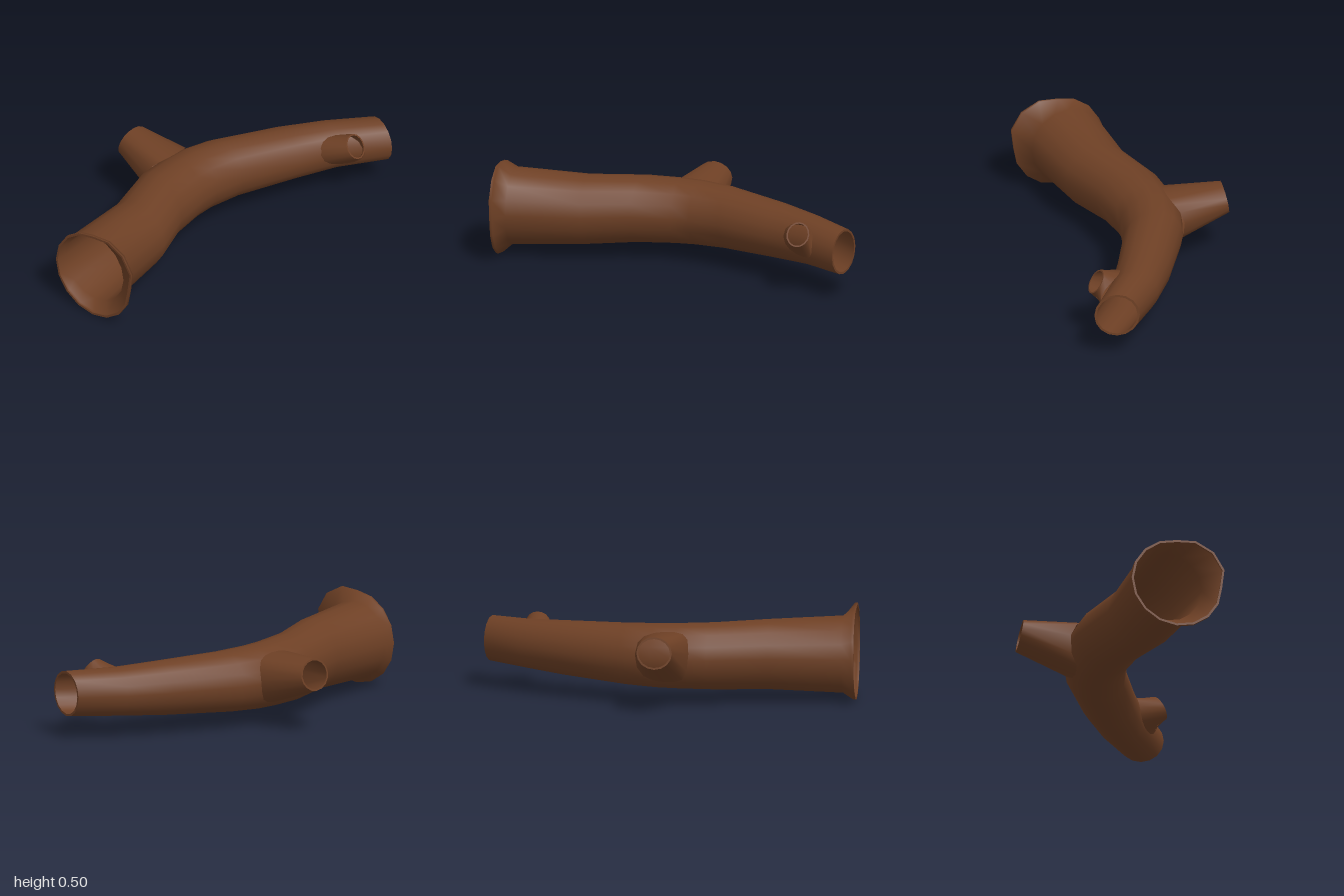
import * as THREE from 'three';
import { mergeGeometries } from 'three/addons/utils/BufferGeometryUtils.js';

const SIDES = 16;
const V = (x, y, z) => new THREE.Vector3(x, y, z);

// Elliptical ring of points; scale(j) lets the outline be irregular
function ring(c, u, v, scale = () => 1) {
  return Array.from({ length: SIDES }, (_, j) => {
    const a = (j / SIDES) * Math.PI * 2, s = scale(j);
    return c.clone().addScaledVector(u, Math.cos(a) * s).addScaledVector(v, Math.sin(a) * s);
  });
}

// Skin over a list of closed rings
function loft(rings) {
  const pos = [], idx = [];
  rings.forEach(r => r.forEach(p => pos.push(p.x, p.y, p.z)));
  for (let i = 0; i < rings.length - 1; i++) {
    for (let j = 0; j < SIDES; j++) {
      const k = (j + 1) % SIDES;
      const a = i * SIDES + j, b = i * SIDES + k, c = a + SIDES, d = b + SIDES;
      idx.push(a, c, b, b, c, d);
    }
  }
  const g = new THREE.BufferGeometry();
  g.setAttribute('position', new THREE.Float32BufferAttribute(pos, 3));
  g.setIndex(idx);
  g.computeVertexNormals();
  return g;
}

// Ring moved inward by the wall thickness
function inset(points, wall) {
  const c = points.reduce((s, p) => s.add(p), V(0, 0, 0)).divideScalar(SIDES);
  return points.map(p => p.clone().addScaledVector(p.clone().sub(c).normalize(), -wall));
}

// Hollow tube: outer skin, inner skin and rims
function tube(rings, wall, startRim) {
  const inner = rings.map(r => inset(r, wall));
  const n = rings.length - 1;
  const parts = [loft(rings), loft([...inner].reverse()), loft([rings[n], inner[n]])];
  if (startRim) parts.push(loft([inner[0], rings[0]]));
  return mergeGeometries(parts);
}

// Push ring points onto the trunk surface around a local axis
function seat(points, axisPoint, axisDir, radius) {
  const d = axisDir.clone().normalize();
  return points.map(p => {
    const rel = p.clone().sub(axisPoint);
    const foot = axisPoint.clone().addScaledVector(d, rel.dot(d));
    return foot.clone().addScaledVector(p.clone().sub(foot).normalize(), radius);
  });
}

export function createModel() {
  const group = new THREE.Group();
  const bark = new THREE.MeshStandardMaterial({ color: 0x6e4025 });
  bark.name = 'barkBrown';
  const add = (name, geo) => {
    const m = new THREE.Mesh(geo, bark);
    m.name = name;
    group.add(m);
  };

  // Trunk sections: left edge x, z, right edge x, z, half height
  const sections = [
    [-0.2, 0.93, 0.213, 0.93, 0.207],
    [-0.205, 0.54, 0.165, 0.54, 0.188],
    [-0.284, 0.22, 0.083, 0.29, 0.18],
    [-0.284, 0.06, 0.062, 0.07, 0.175],
    [-0.268, -0.08, 0.068, -0.03, 0.172],
    [-0.215, -0.24, 0.112, -0.2, 0.165],
    [-0.02, -0.59, 0.25, -0.49, 0.147],
    [0.125, -0.8, 0.36, -0.7, 0.132],
    [0.3, -0.997, 0.53, -0.925, 0.122],
  ];
  // Flared, uneven mouth at the front
  const bulge = { 1: 1.14, 2: 1.16, 3: 1.11 };
  const mouth = z => ring(V(0.045, 0.253, z), V(0.249, 0, 0), V(0, 0.249, 0), j => bulge[j] || 1);
  const trunk = [mouth(0.997), mouth(0.982)];
  for (const [lx, lz, rx, rz, h] of sections) {
    trunk.push(ring(V((lx + rx) / 2, 0.254, (lz + rz) / 2),
      V((rx - lx) / 2, 0, (rz - lz) / 2), V(0, h, 0)));
  }
  add('trunk', tube(trunk, 0.012, true));

  // Large side branch
  const largeBase = seat(ring(V(-0.2, 0.272, -0.005), V(0, 0, -0.145), V(0, 0.123, 0)),
    V(-0.105, 0.254, 0), V(-0.12, 0, 1), 0.17);
  const largeTip = ring(V(-0.522, 0.33, -0.035), V(0.012, 0, -0.095), V(0.016, 0.085, 0));
  add('largeBranch', tube([largeBase, largeTip], 0.01, false));

  // Small branch stub
  const smallBase = seat(ring(V(0.36, 0.28, -0.71), V(-0.065, 0, 0.1), V(-0.04, 0.09, 0)),
    V(0.22, 0.254, -0.7), V(0.6, 0, -0.8), 0.126);
  const smallTip = ring(V(0.447, 0.34, -0.72), V(0, 0, 0.062), V(-0.0375, 0.058, 0));
  add('smallBranch', tube([smallBase, smallTip], 0.008, false));

  return group;
}
